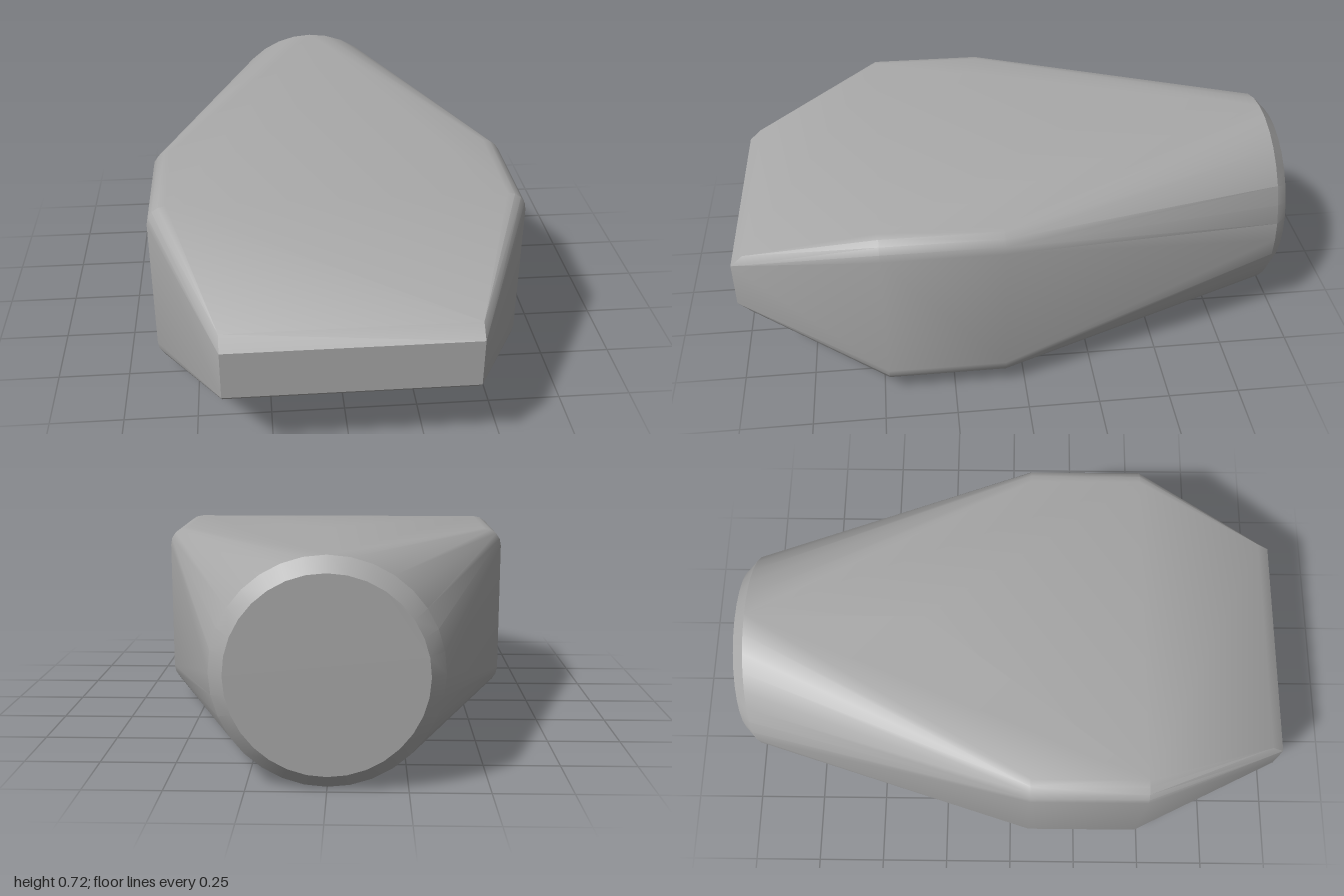
import * as THREE from 'three';
import { toCreasedNormals } from 'three/addons/utils/BufferGeometryUtils.js';
import { ConvexGeometry } from 'three/addons/geometries/ConvexGeometry.js';

const MID_Y = 0.36;

export function createModel() {
  const group = new THREE.Group();
  group.name = 'taperedHousing';
  const grey = new THREE.MeshStandardMaterial({ color: 0xa8a8a8 });
  grey.name = 'grey';

  const points = [];
  const add = (x, y, z) => points.push(new THREE.Vector3(x, MID_Y + y, z));
  // mirror a point into all four quadrants of a cross-section
  const mirrored = (x, y, z) => {
    for (const sx of [-1, 1]) for (const sy of [-1, 1]) add(sx * x, sy * y, z);
  };

  // round barrel at the back, with a chamfered rim
  const ring = (r, z, sides = 32) => {
    for (let i = 0; i < sides; i++) {
      const a = (i / sides) * Math.PI * 2;
      add(r * Math.cos(a), r * Math.sin(a), z);
    }
  };
  ring(0.312, -1);
  ring(0.36, -0.955);
  ring(0.36, -0.31);

  // wide middle block with rounded long edges
  for (const z of [0.07, 0.48]) {
    for (let i = 0; i <= 4; i++) {
      const a = (i / 4) * Math.PI / 2;
      mirrored(0.575 + 0.067 * Math.cos(a), 0.243 + 0.067 * Math.sin(a), z);
    }
  }

  // narrow nose with a bevelled lip
  mirrored(0.408, 0.125, 0.955);
  mirrored(0.408, 0.084, 1);

  const geometry = toCreasedNormals(new ConvexGeometry(points), Math.PI / 6);
  const body = new THREE.Mesh(geometry, grey);
  body.name = 'body';
  group.add(body);
  return group;
}
